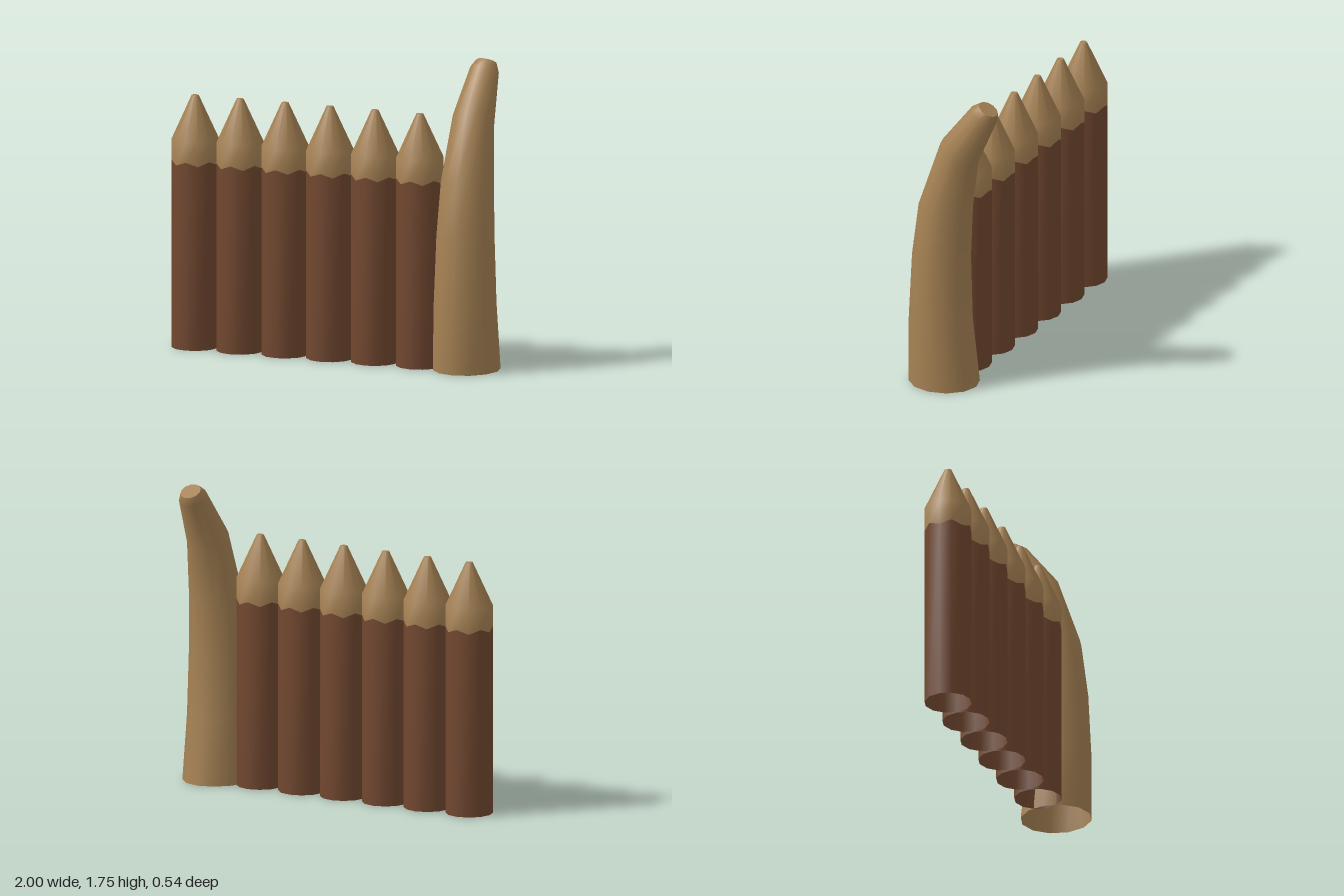
import * as THREE from 'three';

const SIDES = 12;

// Smooth tube through rings; each ring is a function of angle returning [x, y, z].
function loft(rings, sides) {
  const pos = [], idx = [];
  rings.forEach((ring) => {
    for (let i = 0; i < sides; i++) pos.push(...ring((i / sides) * Math.PI * 2));
  });
  for (let r = 0; r < rings.length - 1; r++) {
    for (let i = 0; i < sides; i++) {
      const j = (i + 1) % sides;
      const a = r * sides + i, b = r * sides + j, c = a + sides, d = b + sides;
      idx.push(a, b, d, a, d, c);
    }
  }
  const geo = new THREE.BufferGeometry();
  geo.setAttribute('position', new THREE.Float32BufferAttribute(pos, 3));
  geo.setIndex(idx);
  geo.computeVertexNormals();
  return geo;
}

// Flat lid closing one ring
function lid(ring, sides) {
  const pos = [], idx = [];
  for (let i = 0; i < sides; i++) pos.push(...ring((i / sides) * Math.PI * 2));
  for (let i = 1; i < sides - 1; i++) idx.push(0, i, i + 1);
  const geo = new THREE.BufferGeometry();
  geo.setAttribute('position', new THREE.Float32BufferAttribute(pos, 3));
  geo.setIndex(idx);
  geo.computeVertexNormals();
  return geo;
}

// Level ring with an optional wavy height
const circle = (radius, y, wave = 0) => (t) =>
  [radius * Math.sin(t), y + wave * Math.cos(6 * t), radius * Math.cos(t)];

// Tilted oval ring spanning a front point and a back point
const oval = ([fy, fz, by, bz, rx]) => (t) => {
  const k = Math.cos(t);
  return [rx * Math.sin(t), (fy + by) / 2 + (k * (fy - by)) / 2, (fz + bz) / 2 + (k * (fz - bz)) / 2];
};

export function createModel() {
  const model = new THREE.Group();
  model.name = 'palisade';

  const bark = new THREE.MeshStandardMaterial({ color: 0x724830, side: THREE.DoubleSide });
  bark.name = 'bark brown';
  const wood = new THREE.MeshStandardMaterial({ color: 0xa68254, side: THREE.DoubleSide });
  wood.name = 'bare wood tan';

  const add = (parent, name, geo, mat) => {
    const mesh = new THREE.Mesh(geo, mat);
    mesh.name = name;
    parent.add(mesh);
  };

  // Row of sharpened stakes, open underneath
  const R = 0.135;
  const barkEdge = circle(R, 1.07, 0.012);
  const tipTop = circle(0.02, 1.45);
  const trunkGeo = loft([circle(R, 0), barkEdge], SIDES);
  const tipGeo = loft([barkEdge, circle(R, 1.2), tipTop], SIDES);
  const tipLidGeo = lid(tipTop, SIDES);
  for (let i = 0; i < 6; i++) {
    const stake = new THREE.Group();
    stake.name = 'stake' + (i + 1);
    add(stake, 'trunk', trunkGeo, bark);
    add(stake, 'sharpenedTip', tipGeo, wood);
    add(stake, 'tipEnd', tipLidGeo, wood);
    stake.position.set(-0.865 + i * 0.277, 0, 0.067);
    model.add(stake);
  }

  // Tall tusk-shaped end post curving backwards: front y, z, back y, z, half width
  const rings = [
    [0, 0.27, 0, -0.14, 0.19],
    [0.38, 0.27, 0.38, -0.095, 0.178],
    [0.78, 0.25, 0.76, -0.085, 0.165],
    [1.09, 0.21, 1.07, -0.1, 0.15],
    [1.48, 0.075, 1.36, -0.14, 0.12],
    [1.72, -0.115, 1.64, -0.265, 0.082],
    [1.75, -0.165, 1.69, -0.27, 0.06],
  ].map(oval);
  const post = new THREE.Group();
  post.name = 'curvedPost';
  add(post, 'postShaft', loft(rings, SIDES), wood);
  add(post, 'postEnd', lid(rings[rings.length - 1], SIDES), wood);
  post.position.x = 0.81;
  post.position.x = 0.808;
  post.position.x = 0.81;
  post.position.x = 0.79 + 0.018;
  return model.add(post);
}
